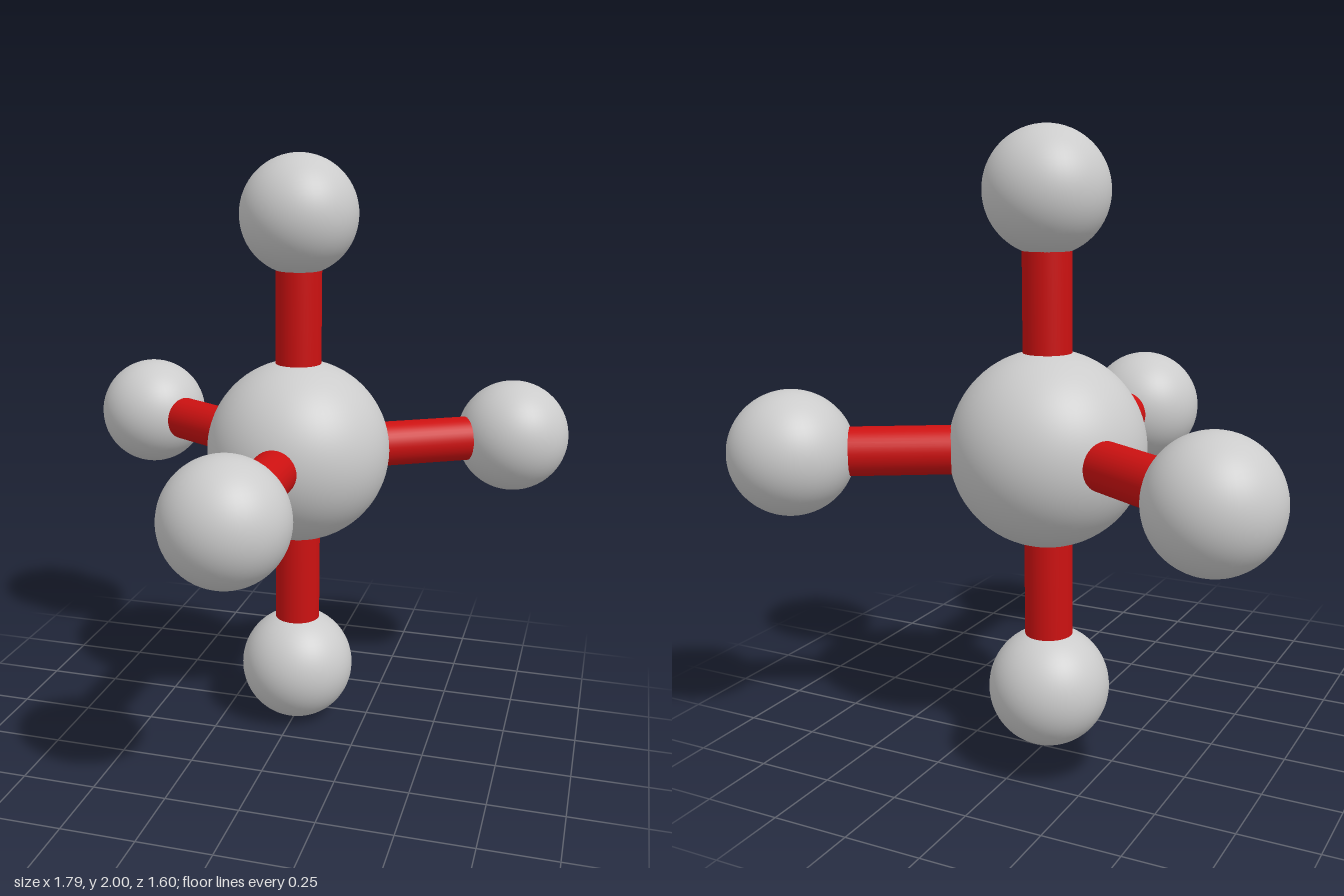
import * as THREE from 'three';

const CENTER = new THREE.Vector3(0, 1, -0.2);
const BOND_LENGTH = 0.802;
const CORE_RADIUS = 0.315;
const OUTER_RADIUS = 0.198;
const BOND_RADIUS = 0.078;

export function createModel() {
  const group = new THREE.Group();
  group.name = 'trigonalBipyramidMolecule';
  const grey = new THREE.MeshStandardMaterial({ color: 0xcccccc });
  const red = new THREE.MeshStandardMaterial({ color: 0xcc1111 });

  const add = (name, geometry, material, position) => {
    const mesh = new THREE.Mesh(geometry, material);
    mesh.name = name;
    mesh.position.copy(position);
    group.add(mesh);
    return mesh;
  };

  // Central atom
  add('centralAtom', new THREE.SphereGeometry(CORE_RADIUS, 64, 40), grey, CENTER);

  // Two axial directions and three equatorial ones, 120 degrees apart
  const c = Math.cos(Math.PI / 6);
  const directions = {
    top: [0, 1, 0],
    bottom: [0, -1, 0],
    front: [0, 0, 1],
    backLeft: [c, 0, -0.5],
    backRight: [-c, 0, -0.5],
  };

  // Bond ends are sunk slightly into both atoms
  const start = CORE_RADIUS - 0.03;
  const end = BOND_LENGTH - OUTER_RADIUS + 0.03;
  const atomGeometry = new THREE.SphereGeometry(OUTER_RADIUS, 48, 32);
  const bondGeometry = new THREE.CylinderGeometry(BOND_RADIUS, BOND_RADIUS, end - start, 40);
  const up = new THREE.Vector3(0, 1, 0);

  for (const [name, d] of Object.entries(directions)) {
    const dir = new THREE.Vector3(...d);
    const along = (t) => CENTER.clone().addScaledVector(dir, t);
    add(`${name}Atom`, atomGeometry, grey, along(BOND_LENGTH));
    const bond = add(`${name}Bond`, bondGeometry, red, along((start + end) / 2));
    bond.quaternion.setFromUnitVectors(up, dir);
  }
  return group;
}
